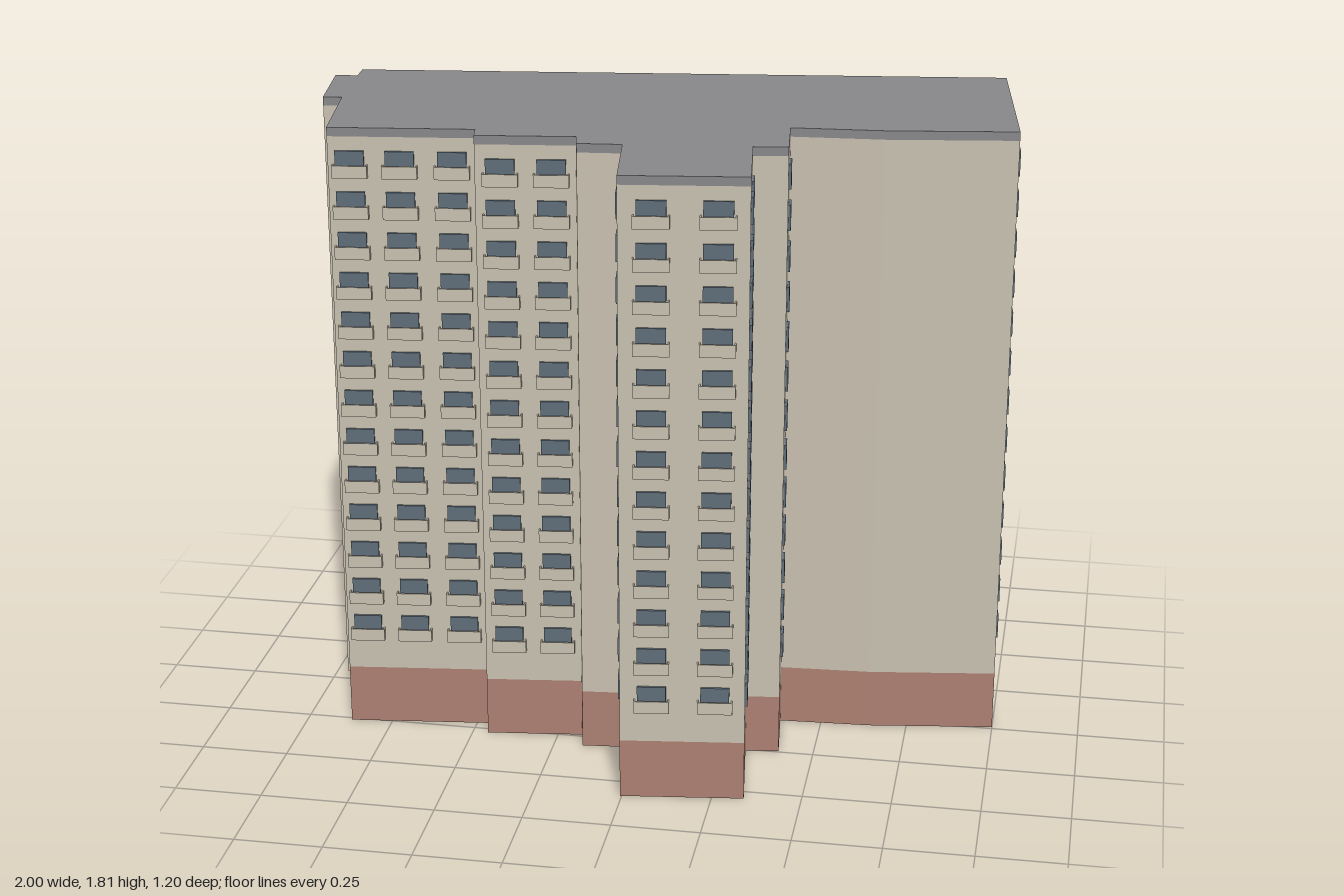
import * as THREE from 'three';
import { mergeGeometries } from 'three/addons/utils/BufferGeometryUtils.js';

const PLINTH = 0.175, CAP = 1.785, TOP = 1.81;
const FLOORS = 13, FIRST_HEAD = 0.345, STOREY = 0.1167;

// Footprint walls, counter-clockwise from above. Each starts at x, z and runs to the next.
// at: window column positions along the wall, 0 to 1
const backColumns = Array.from({ length: 14 }, (_, i) => 0.037 + (i * 0.932) / 13);
const WALLS = [
  { name: 'rightRearReturn', x: -0.94, z: -0.37, bare: true },
  { name: 'shaftBack', x: -0.936, z: -0.3, bare: true },
  { name: 'shaftSide', x: -1.0, z: -0.294 },
  { name: 'shaftFront', x: -0.968, z: -0.048, bare: true },
  { name: 'rightEnd', x: -0.914, z: -0.053, at: [0.22, 0.65] },
  { name: 'frontOuter', x: -0.87, z: 0.262, at: [0.148, 0.486, 0.84], balconies: true },
  { name: 'frontStep', x: -0.465, z: 0.214 },
  { name: 'frontInner', x: -0.455, z: 0.273, at: [0.25, 0.756], balconies: true },
  { name: 'cornerStep', x: -0.18, z: 0.24 },
  { name: 'cornerFront', x: -0.166, z: 0.305 },
  { name: 'wingRight', x: -0.043, z: 0.294, at: [0.22, 0.7] },
  { name: 'wingFront', x: -0.005, z: 0.583, at: [0.255, 0.76], balconies: true },
  { name: 'wingLeft', x: 0.34, z: 0.54, at: [0.21, 0.72] },
  { name: 'stubFront', x: 0.305, z: 0.257 },
  { name: 'stubLeft', x: 0.4, z: 0.245, at: [0.47] },
  { name: 'plainFrontInner', x: 0.38, z: 0.053 },
  { name: 'plainFrontOuter', x: 0.64, z: 0.04 },
  { name: 'leftEnd', x: 1.0, z: -0.01, at: [0.115, 0.362, 0.62, 0.87] },
  { name: 'back', x: 0.93, z: -0.59, at: backColumns, balconies: true },
];

function material(name, color) {
  const m = new THREE.MeshStandardMaterial({ color });
  m.name = name;
  return m;
}

// Box given by its size and centre
function box(w, h, d, x, y, z) {
  return new THREE.BoxGeometry(w, h, d).translate(x, y, z);
}

// Upright panel in a wall's own frame
function panel(length, y0, y1) {
  return new THREE.PlaneGeometry(length, y1 - y0).translate(length / 2, (y0 + y1) / 2, 0);
}

// Open-topped balcony: floor, parapet and two cheeks
function balcony(x, head) {
  const y = head - 0.0575, h = 0.036, w = 0.098, d = 0.018;
  return [
    box(w, 0.004, d, x, y - h / 2 + 0.002, d / 2),
    box(w, h, 0.004, x, y, d - 0.002),
    box(0.004, h, d - 0.004, x - w / 2 + 0.002, y, (d - 0.004) / 2),
    box(0.004, h, d - 0.004, x + w / 2 - 0.002, y, (d - 0.004) / 2),
  ];
}

export function createModel() {
  const building = new THREE.Group();
  building.name = 'apartmentBlock';
  const render = material('beige render', 0xc8c0b0);
  const brick = material('red brick', 0xac8071);
  const roofing = material('grey roofing', 0x88888b);
  const glass = material('slate glass', 0x5f6d79);

  function add(parent, name, geometry, mat) {
    const mesh = new THREE.Mesh(geometry, mat);
    mesh.name = name;
    parent.add(mesh);
  }

  WALLS.forEach((wall, i) => {
    const next = WALLS[(i + 1) % WALLS.length];
    const dx = next.x - wall.x, dz = next.z - wall.z;
    const length = Math.hypot(dx, dz);

    // Local frame: x along the wall, z outward
    const side = new THREE.Group();
    side.name = wall.name + 'Wall';
    side.position.set(wall.x, 0, wall.z);
    side.rotation.y = Math.atan2(-dz, dx);
    building.add(side);

    // Plinth, facade and roof edge
    if (!wall.bare) add(side, 'plinth', panel(length, 0, PLINTH), brick);
    add(side, 'facade', panel(length, wall.bare ? 0 : PLINTH, CAP), render);
    add(side, 'roofEdge', panel(length, CAP, TOP), roofing);

    // Windows and balconies on every storey
    if (!wall.at) return;
    const panes = [], trays = [];
    const width = wall.balconies ? 0.08 : 0.056;
    for (const t of wall.at) {
      for (let floor = 0; floor < FLOORS; floor++) {
        const head = FIRST_HEAD + floor * STOREY;
        panes.push(box(width, 0.072, 0.008, t * length, head - 0.036, 0.003));
        if (wall.balconies) trays.push(...balcony(t * length, head));
      }
    }
    add(side, 'windows', mergeGeometries(panes), glass);
    if (trays.length) add(side, 'balconies', mergeGeometries(trays), render);
  });

  // Flat roof and underside
  const plan = new THREE.Shape(WALLS.map((w) => new THREE.Vector2(w.x, -w.z)));
  add(building, 'roof', new THREE.ShapeGeometry(plan).rotateX(-Math.PI / 2).translate(0, TOP, 0), roofing);
  const mirrored = new THREE.Shape(WALLS.map((w) => new THREE.Vector2(w.x, w.z)));
  add(building, 'underside', new THREE.ShapeGeometry(mirrored).rotateX(Math.PI / 2), render);

  return building;
}
